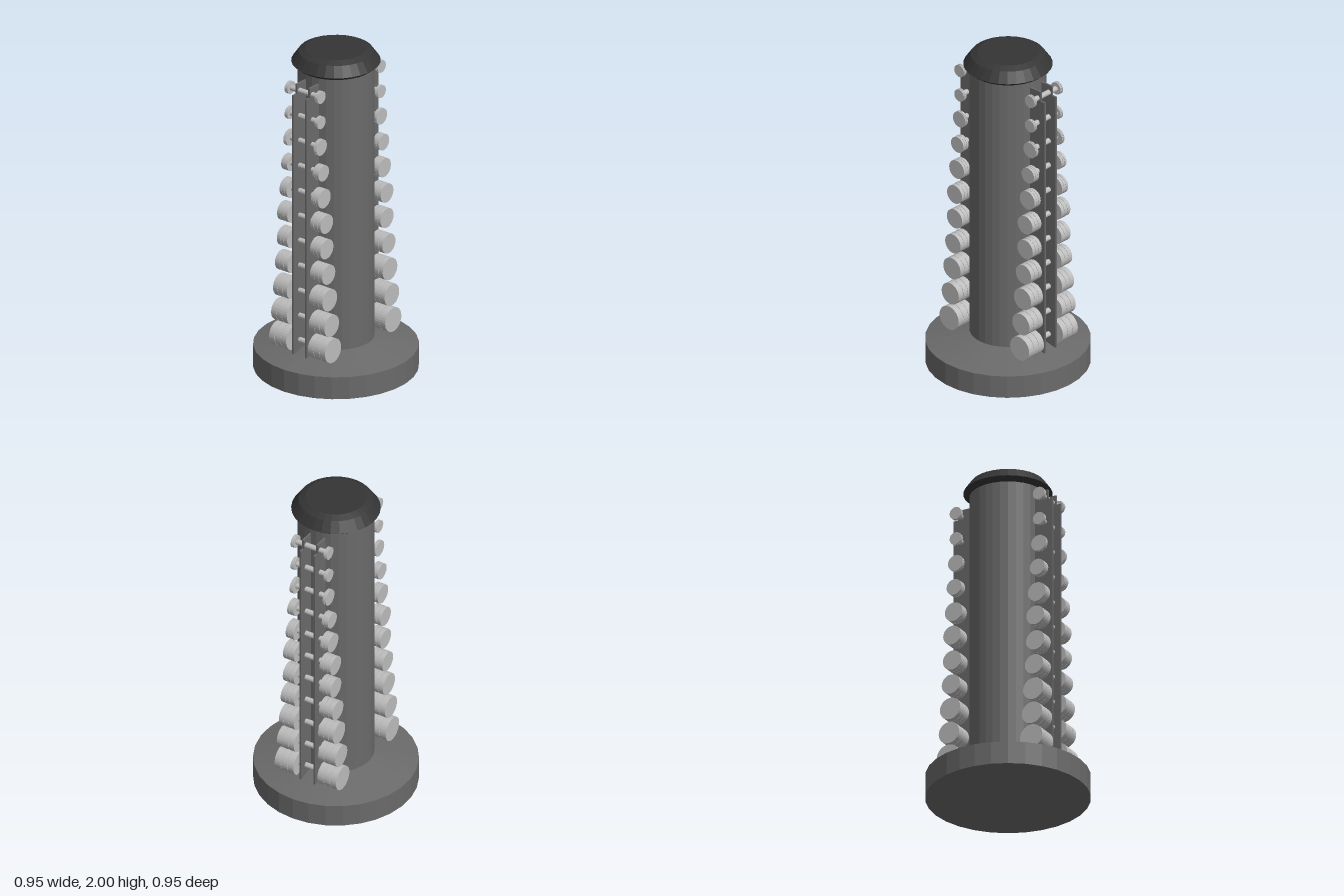
import * as THREE from 'three';

const SIDES = 30;
const OFFSET_X = -0.006; // racks sit a touch off centre
const RACK_Z = 0.275;

const mat = (name, color) => {
  const m = new THREE.MeshStandardMaterial({ color, flatShading: true });
  m.name = name;
  return m;
};

// Dumbbells from bottom to top: [height, head radius, inner half length, outer half length]
const DUMBBELLS = [
  [0.243, 0.074, 0.08, 0.206],
  [0.397, 0.067, 0.081, 0.196],
  [0.555, 0.067, 0.081, 0.182],
  [0.713, 0.06, 0.083, 0.174],
  [0.87, 0.06, 0.084, 0.16],
  [1.028, 0.058, 0.085, 0.16],
  [1.183, 0.058, 0.09, 0.142],
  [1.342, 0.049, 0.094, 0.137],
  [1.5, 0.049, 0.1, 0.121],
  [1.656, 0.038, 0.1, 0.121],
  [1.815, 0.038, 0.1, 0.121],
];

export function createModel() {
  const model = new THREE.Group();
  model.name = 'dumbbellTower';
  const grey = mat('frameGrey', 0x6a6a6a);
  const dark = mat('capDark', 0x353535);
  const steel = mat('dumbbellSteel', 0xbcbcbc);

  const add = (parent, name, geometry, material) => {
    const mesh = new THREE.Mesh(geometry, material);
    mesh.name = name;
    parent.add(mesh);
    return mesh;
  };
  const lathe = (points, sides = SIDES) =>
    new THREE.LatheGeometry(points.map(([r, y]) => new THREE.Vector2(r, y)), sides);

  // Round base with a shallow conical top
  add(model, 'base', lathe([[0, 0], [0.476, 0], [0.476, 0.138], [0.2, 0.198], [0, 0.198]]), grey);

  // Central column
  add(model, 'column', lathe([[0.221, 0.18], [0.221, 1.91]]), grey);

  // Bevelled cap
  add(model, 'cap', lathe([[0, 1.9], [0.23, 1.9], [0.257, 1.922], [0.215, 1.982], [0.175, 2], [0, 2]]), dark);

  // Side profile of a rail, stepped back at the top; first axis is depth
  const profile = new THREE.Shape([
    [0.2, 0.165], [0.328, 0.165], [0.328, 1.8], [0.298, 1.8], [0.298, 1.86], [0.2, 1.86],
  ].map(([z, y]) => new THREE.Vector2(z, y)));
  const railGeometry = new THREE.ExtrudeGeometry(profile, { depth: 0.012, bevelEnabled: false });
  railGeometry.translate(0, 0, -0.006);
  railGeometry.rotateY(-Math.PI / 2);

  // One head: three plates on a core, separated by fine grooves
  const headGeometry = (radius, inner, outer) => {
    const points = [[0, inner]];
    const step = (outer - inner) / 3;
    const gap = 0.001;
    for (let i = 0; i < 3; i++) {
      const a = inner + i * step + (i > 0 ? gap : 0);
      const b = inner + (i + 1) * step - (i < 2 ? gap : 0);
      if (i > 0) points.push([radius - 0.004, a]);
      points.push([radius, a], [radius, b]);
      if (i < 2) points.push([radius - 0.004, b]);
    }
    points.push([0, outer]);
    return lathe(points).rotateZ(-Math.PI / 2);
  };

  const makeDumbbell = ([y, radius, inner, outer]) => {
    const dumbbell = new THREE.Group();
    dumbbell.name = 'dumbbell';
    const bar = new THREE.CylinderGeometry(0.016, 0.016, 2 * inner + 0.01, 16, 1, true);
    add(dumbbell, 'handle', bar.rotateZ(Math.PI / 2), steel);
    const head = headGeometry(radius, inner, outer);
    add(dumbbell, 'leftHead', head, steel);
    add(dumbbell, 'rightHead', head, steel).rotation.y = Math.PI;
    dumbbell.position.set(0, y, RACK_Z);
    return dumbbell;
  };

  // Matching racks on the front and back of the column
  for (const [name, turn] of [['frontRack', 0], ['backRack', Math.PI]]) {
    const rack = new THREE.Group();
    rack.name = name;
    for (const x of [-0.047, 0.047]) add(rack, 'rail', railGeometry, grey).position.x = x;
    DUMBBELLS.forEach((spec) => rack.add(makeDumbbell(spec)));
    rack.rotation.y = turn;
    rack.position.x = OFFSET_X;
    model.add(rack);
  }

  return model;
}
